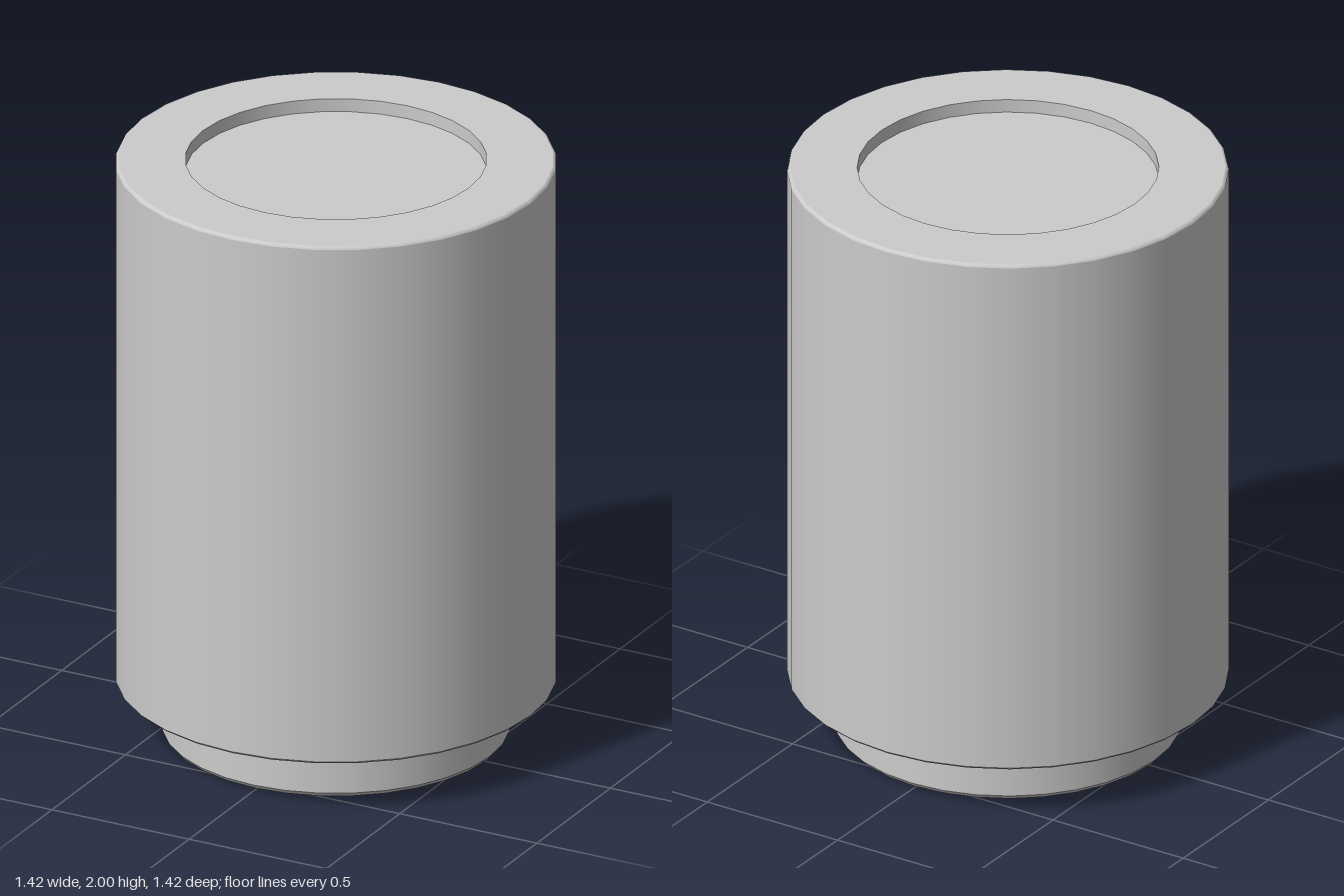
import * as THREE from 'three';

const SIDES = 32;
const material = new THREE.MeshStandardMaterial({ color: 0xcccccc });

// Revolve a profile given from the bottom upwards; a repeated point makes a sharp edge.
function turned(name, profile) {
  const points = profile.map(([r, y]) => new THREE.Vector2(r, y));
  const mesh = new THREE.Mesh(new THREE.LatheGeometry(points, SIDES), material);
  mesh.name = name;
  return mesh;
}

export function createModel() {
  const model = new THREE.Group();
  model.name = 'canister';

  // Narrow foot with a softened lower edge
  model.add(turned('foot', [
    [0, 0], [0.53, 0], [0.53, 0],
    [0.55, 0.006], [0.56, 0.02], [0.56, 0.02],
    [0.56, 0.19],
  ]));

  // Main cylinder with fine bevels and a shallow round recess in the top
  model.add(turned('body', [
    [0.55, 0.187], [0.702, 0.187], [0.702, 0.187],
    [0.71, 0.195], [0.71, 0.195],
    [0.71, 1.99], [0.71, 1.99],
    [0.707, 1.997], [0.7, 2], [0.7, 2],
    [0.485, 2], [0.485, 2],
    [0.485, 1.955], [0.485, 1.955],
    [0, 1.955],
  ]));

  return model;
}
